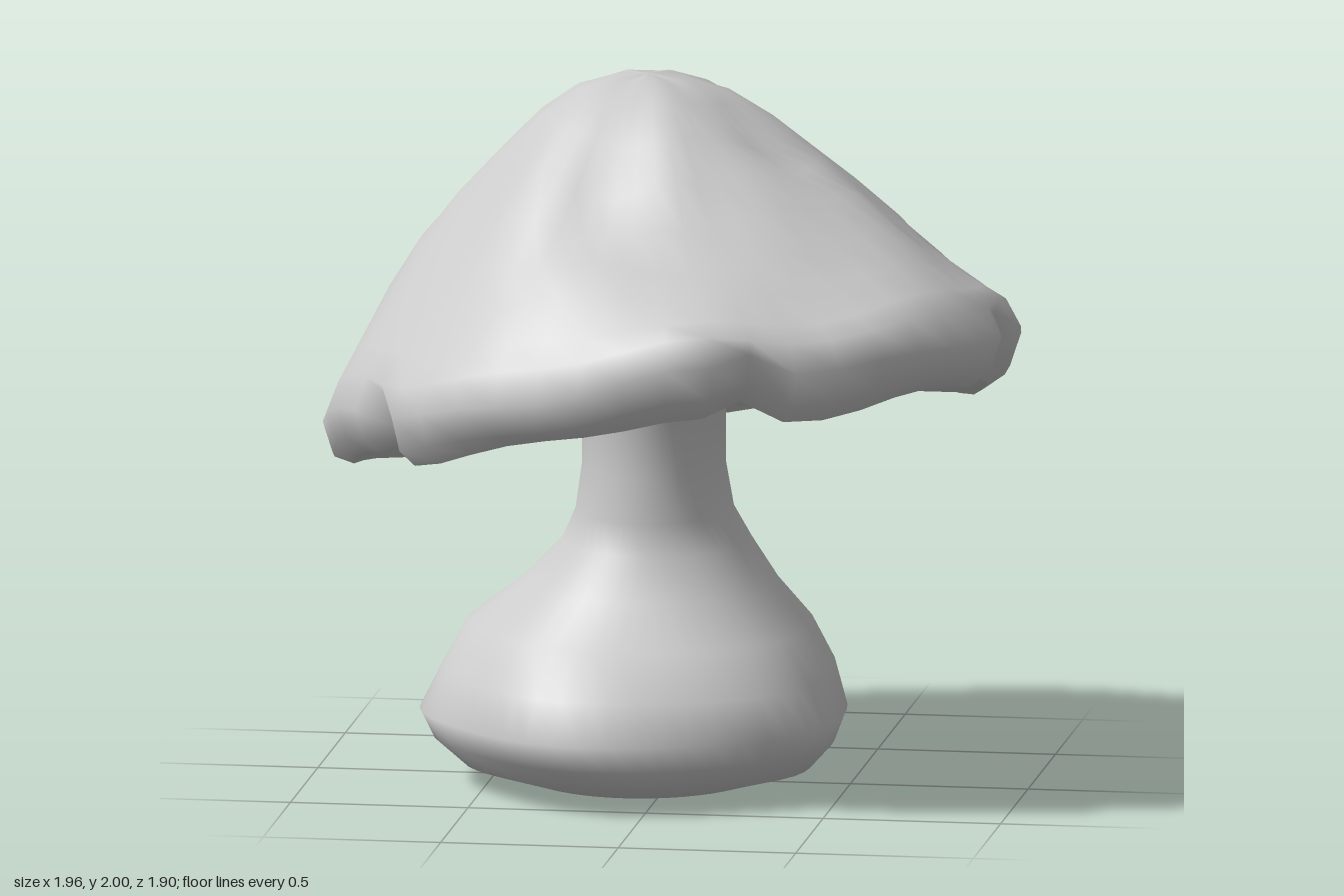
import * as THREE from 'three';

const SEG = 48;
const { sin, cos, PI, hypot, exp } = Math;

// Smooth closed skin through rings of points; point(ring, segment) gives [x, y, z]
function loft(ringCount, point) {
  const pos = [], index = [];
  for (let i = 0; i < ringCount; i++)
    for (let j = 0; j < SEG; j++) pos.push(...point(i, j, (j / SEG) * 2 * PI));
  for (let i = 0; i < ringCount - 1; i++)
    for (let j = 0; j < SEG; j++) {
      const k = (j + 1) % SEG;
      const a = i * SEG + j, b = i * SEG + k, c = a + SEG, d = b + SEG;
      index.push(a, b, c, b, d, c);
    }
  const g = new THREE.BufferGeometry();
  g.setAttribute('position', new THREE.Float32BufferAttribute(pos, 3));
  g.setIndex(index);
  g.computeVertexNormals();
  return g;
}

// Rim radius every 15 degrees, from +x towards +z
const RIM = [0.98, 1, 1, 0.98, 0.95, 0.96, 0.94, 0.95, 0.98, 0.97, 0.95, 0.97,
  0.98, 0.98, 0.96, 0.94, 0.94, 0.93, 0.96, 0.96, 0.96, 0.95, 0.95, 0.96];
const NOTCHES = [1, 9, 19, 35, 39];
const rimRadius = (j) => {
  const f = (j * 24) / SEG, i = Math.floor(f);
  return THREE.MathUtils.lerp(RIM[i % 24], RIM[(i + 1) % 24], f - i);
};
const tilt = (x, z) => 0.15 * x + 0.16 * z;

// Dents and bumps on the cap: x, z, radius, depth
const DENTS = [[-0.64, -0.1, 0.08, -0.07], [-0.15, 0.47, 0.13, -0.05], [0.28, 0.12, 0.12, -0.05],
  [0.42, -0.4, 0.12, -0.05], [0.55, 0.2, 0.18, 0.04], [-0.35, 0.15, 0.2, 0.03], [0.2, -0.68, 0.15, 0.03]];

// Cap profile: fraction of rim radius, height, share of tilt
const CAP = [[0, 2, 0], [0.1, 1.99, 0], [0.22, 1.95, 0], [0.34, 1.87, 0], [0.46, 1.77, 0.05],
  [0.58, 1.66, 0.15], [0.7, 1.54, 0.35], [0.8, 1.43, 0.6], [0.9, 1.31, 0.85],
  [0.96, 1.23, 1], [1, 1.14, 1], [0.97, 1.05, 1], [0.91, 1.01, 1]];

function capPoint(i, j, a) {
  const [f, h, t] = CAP[i];
  const edge = i > 9;
  const notch = edge && NOTCHES.includes(j) ? 1 : 0;
  const r = f * rimRadius(j) - 0.06 * notch;
  const x = r * cos(a) - 0.07 * (1 - f), z = r * sin(a);
  let y = h + t * tilt(x, z) + 0.05 * notch;
  // broad uneven lumps
  y += 0.02 * f * (sin(5 * a + 7 * f) + sin(9 * a - 11 * f) * 0.7);
  if (!edge)
    for (const [dx, dz, s, d] of DENTS) y += d * exp(-((hypot(x - dx, z - dz) / s) ** 2));
  return [x, Math.min(y, 2), z];
}

// Underside: mix from lip (0) to stem (1), pleat depth
const GILLS = [[0, 0], [0.12, 0.02], [0.4, 0.03], [0.75, 0.02], [1, 0]];
function gillPoint(i, j, a) {
  const [m, pleat] = GILLS[i];
  const lip = capPoint(CAP.length - 1, j, a);
  const inner = [-0.05 + 0.2 * cos(a), 1.1, 0.02 + 0.22 * sin(a)];
  const p = lip.map((v, k) => THREE.MathUtils.lerp(v, inner[k], m));
  p[1] += 0.12 * m * (1 - m) + pleat * [1, 0.2, -1, -0.3][j % 4];
  return p;
}

// Stem rings: height, min x, max x, min z, max z
const STEM = [[1.18, -0.28, 0.2, -0.24, 0.29], [1.06, -0.25, 0.15, -0.21, 0.25],
  [0.9, -0.25, 0.15, -0.21, 0.25], [0.77, -0.27, 0.17, -0.25, 0.26], [0.68, -0.31, 0.22, -0.28, 0.27],
  [0.56, -0.42, 0.29, -0.35, 0.34], [0.44, -0.57, 0.39, -0.46, 0.44], [0.32, -0.63, 0.46, -0.53, 0.57],
  [0.2, -0.69, 0.5, -0.56, 0.6], [0.13, -0.65, 0.47, -0.55, 0.6], [0.06, -0.57, 0.4, -0.47, 0.52],
  [0.02, -0.4, 0.25, -0.3, 0.4], [0, -0.2, 0.05, -0.1, 0.15], [0.01, -0.08, -0.08, 0.02, 0.02]];
function stemPoint(i, j, a) {
  const [y, x0, x1, z0, z1] = STEM[i];
  const bulge = i > 4 && i < 11 ? 1 + 0.025 * sin(5 * a + 1 + i * 0.5) : 1;
  return [(x0 + x1) / 2 + ((x1 - x0) / 2) * bulge * cos(a), y,
    (z0 + z1) / 2 + ((z1 - z0) / 2) * bulge * sin(a)];
}

export function createModel() {
  const group = new THREE.Group();
  group.name = 'mushroom';
  const grey = new THREE.MeshStandardMaterial({ color: 0xcccccc });
  grey.name = 'pale grey';
  const add = (name, geometry) => {
    const mesh = new THREE.Mesh(geometry, grey);
    mesh.name = name;
    group.add(mesh);
  };
  add('cap', loft(CAP.length, capPoint));
  add('gills', loft(GILLS.length, gillPoint));
  add('stem', loft(STEM.length, stemPoint));
  return group;
}
